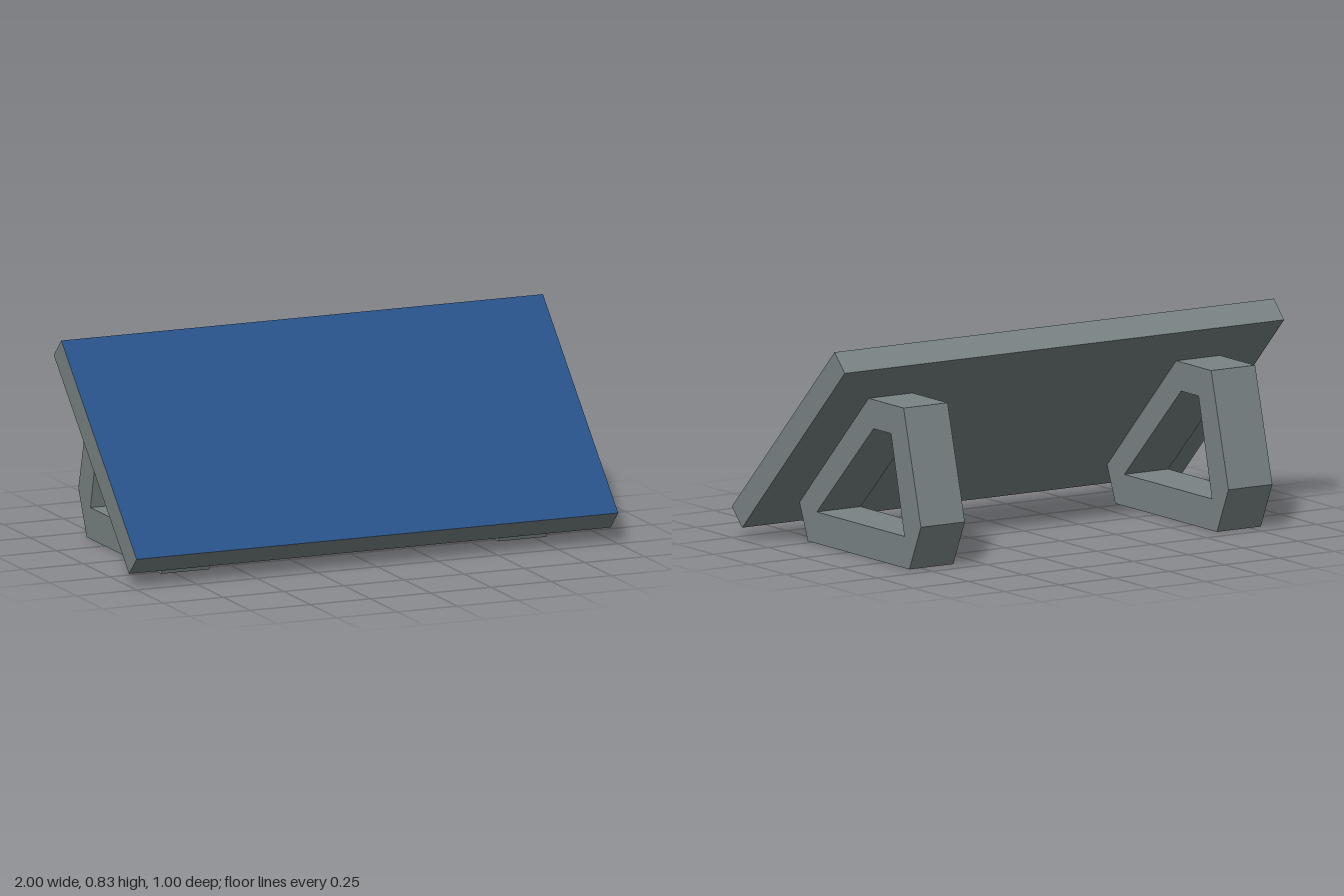
import * as THREE from 'three';

export function createModel() {
  const model = new THREE.Group();
  const grey = new THREE.MeshStandardMaterial({ color: 0x7a8485 });
  grey.name = 'grey metal';
  const blue = new THREE.MeshStandardMaterial({ color: 0x28528a });
  blue.name = 'panel blue';

  // Tilted slab with a blue upper face (box face order: +x, -x, +y, -y, +z, -z)
  const panel = new THREE.Mesh(
    new THREE.BoxGeometry(2, 0.1, 1),
    [grey, grey, blue, grey, grey, grey]
  );
  panel.name = 'panel';
  panel.rotation.x = Math.PI / 4;
  panel.position.set(0, 0.4375, 0.1115);
  model.add(panel);

  // Bracket side profile, given as [z, y]; shape x runs towards the back
  const toPoints = (list) => list.map(([z, y]) => new THREE.Vector2(-z, y));
  const profile = new THREE.Shape(toPoints([
    [0.28, 0], [-0.42, 0], [-0.499, 0.175], [-0.38, 0.617], [-0.137, 0.617], [0.338, 0.142],
  ]));
  profile.holes.push(new THREE.Path(toPoints([
    [0.218, 0.122], [-0.173, 0.505], [-0.293, 0.505], [-0.385, 0.122],
  ])));
  const bracketGeometry = new THREE.ExtrudeGeometry(profile, { depth: 0.2, bevelEnabled: false });
  bracketGeometry.translate(0, 0, -0.1);
  bracketGeometry.rotateY(Math.PI / 2);

  // A matching bracket on each side
  for (const [name, x] of [['leftBracket', 0.7], ['rightBracket', -0.7]]) {
    const bracket = new THREE.Mesh(bracketGeometry, grey);
    bracket.name = name;
    bracket.position.x = x;
    model.add(bracket);
  }
  return model;
}
